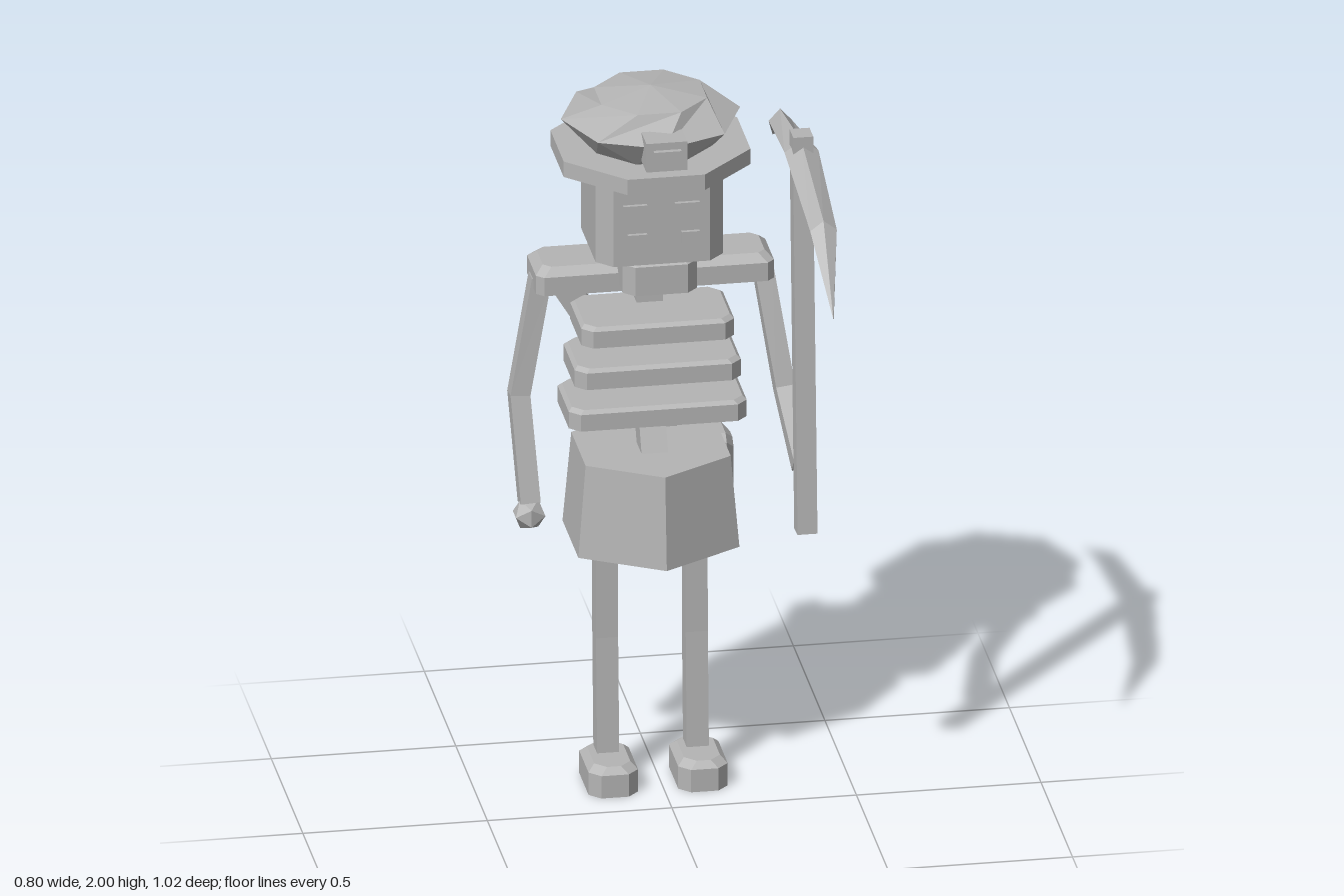
import * as THREE from 'three';

const stone = new THREE.MeshStandardMaterial({ color: 0xb4b4b4 });
stone.name = 'plain grey';

// Centre line of the body
const CX = -0.014;
const CZ = -0.258;

const V = (x, y, z) => new THREE.Vector3(x, y, z);

// Faceted solid through a list of equal-sized rings, capped at both ends
function loft(rings) {
  const out = [];
  const tri = (a, b, c) => [a, b, c].forEach((p) => out.push(p.x, p.y, p.z));
  const n = rings[0].length;
  for (let r = 0; r < rings.length - 1; r++) {
    const a = rings[r], b = rings[r + 1];
    for (let i = 0; i < n; i++) {
      const j = (i + 1) % n;
      tri(a[i], a[j], b[j]);
      tri(a[i], b[j], b[i]);
    }
  }
  const first = rings[0], last = rings[rings.length - 1];
  for (let i = 1; i < n - 1; i++) {
    tri(first[0], first[i + 1], first[i]);
    tri(last[0], last[i], last[i + 1]);
  }
  const geo = new THREE.BufferGeometry();
  geo.setAttribute('position', new THREE.Float32BufferAttribute(out, 3));
  geo.computeVertexNormals();
  return geo;
}

// Box given by its limits, with cut upright corners and bevelled top / bottom
function cutBox([x0, x1], [y0, y1], [z0, z1], cut, top = 0, bottom = 0) {
  const cx = (x0 + x1) / 2, cz = (z0 + z1) / 2;
  const ring = (y, inset) => {
    const w = (x1 - x0) / 2 - inset, d = (z1 - z0) / 2 - inset, c = cut;
    return [[w, d - c], [w, c - d], [w - c, -d], [c - w, -d], [-w, c - d], [-w, d - c], [c - w, d], [w - c, d]]
      .map(([x, z]) => V(cx + x, y, cz + z));
  };
  const rings = [];
  if (bottom) rings.push(ring(y0, bottom));
  rings.push(ring(y0 + bottom, 0), ring(y1 - top, 0));
  if (top) rings.push(ring(y1, top));
  return loft(rings);
}

function box([x0, x1], [y0, y1], [z0, z1]) {
  return new THREE.BoxGeometry(x1 - x0, y1 - y0, z1 - z0)
    .translate((x0 + x1) / 2, (y0 + y1) / 2, (z0 + z1) / 2);
}

// Square bar along a bent path; half widths across x and across the other way
function bar(points, hx, hv = hx) {
  const p = points.map((q) => V(...q));
  return loft(p.map((q, i) => {
    const d = p[Math.min(i + 1, p.length - 1)].clone().sub(p[Math.max(i - 1, 0)]).normalize();
    const u = V(1, 0, 0).addScaledVector(d, -d.x).normalize();
    const v = d.clone().cross(u);
    return [[1, 1], [-1, 1], [-1, -1], [1, -1]]
      .map(([a, b]) => q.clone().addScaledVector(u, a * hx).addScaledVector(v, b * hv));
  }));
}

function faceted(geo) {
  const g = geo.toNonIndexed();
  g.computeVertexNormals();
  return g;
}

export function createModel() {
  const model = new THREE.Group();
  model.name = 'skeletonMiner';
  const add = (name, geo) => {
    const mesh = new THREE.Mesh(geo, stone);
    mesh.name = name;
    model.add(mesh);
    return mesh;
  };

  // Helmet: eight-sided dome with staggered rings, and a flat brim
  const domeRing = (r, y, turn) => Array.from({ length: 8 }, (_, i) => {
    const a = (i + turn) * Math.PI / 4;
    return V(CX + r * Math.cos(a), y, CZ + r * -Math.sin(a));
  });
  add('helmetDome', loft([
    domeRing(0.17, 1.84, 0.5), domeRing(0.243, 1.918, 0),
    domeRing(0.155, 1.978, 0.5), domeRing(0.001, 2, 0.5),
  ]));
  const brim = new THREE.CylinderGeometry(0.274, 0.274, 0.045, 8).rotateY(Math.PI / 8);
  add('helmetBrim', faceted(brim.translate(CX, 1.818, CZ)));
  add('lampHousing', box([-0.069, 0.042], [1.86, 1.943], [-0.08, 0]));
  add('lampLens', box([-0.05, 0.024], [1.878, 1.922], [-0.01, 0.014]));

  // Head with face plates
  add('head', cutBox([-0.187, 0.158], [1.557, 1.8], [-0.388, -0.075], 0.042));
  const plates = [
    ['rightEye', -0.12, -0.055, 1.667, 1.735], ['leftEye', 0.02, 0.087, 1.667, 1.735],
    ['rightCheek', -0.108, -0.055, 1.615, 1.65], ['leftCheek', 0.038, 0.087, 1.615, 1.65],
  ];
  for (const [name, x0, x1, y0, y1] of plates) {
    add(name, box([x0, x1], [y0, y1], [-0.08, -0.064]));
  }
  add('jaw', cutBox([-0.115, 0.087], [1.465, 1.56], [-0.297, -0.08], 0.03, 0.012));

  // Shoulders, ribs and spine
  add('shoulderBar', cutBox([-0.335, 0.31], [1.44, 1.515], [-0.355, -0.177], 0.02, 0.022));
  [[1.305, 0.207], [1.185, 0.225], [1.065, 0.241]].forEach(([y, w], i) => {
    add(`rib${i + 1}`, cutBox([CX - w, CX + w], [y, y + 0.058], [-0.348, -0.115], 0.028, 0.01));
  });
  add('spine', bar([[CX, 0.88, -0.19], [CX, 1.09, -0.295], [CX, 1.46, -0.305]], 0.036));

  // Pelvis block, back strap and hip pouch
  const pelvis = new THREE.CylinderGeometry(0.227, 0.252, 0.262, 6);
  add('pelvis', faceted(pelvis.translate(CX, 0.824, -0.25)));
  add('backStrap', bar([[0.08, 0.88, -0.378], [-0.275, 1.46, -0.378]], 0.035, 0.022));
  const pouch = cutBox([0.73, 0.925], [0.1, 0.228], [-0.455, -0.335], 0.02, 0.022);
  // Tip the block on its side so the bevelled face points outwards
  pouch.applyMatrix4(new THREE.Matrix4().set(0, 1, 0, 0, -1, 0, 0, 1.655, 0, 0, 1, 0, 0, 0, 0, 1));
  add('hipPouch', pouch);

  // Legs and feet
  for (const [side, x] of [['right', -0.138], ['left', 0.105]]) {
    add(`${side}Leg`, bar([[x, 0.06, -0.232], [x, 0.41, -0.25], [x, 0.72, -0.254]], 0.03));
    add(`${side}Foot`, cutBox([x - 0.067, x + 0.067], [0, 0.083], [-0.3, -0.092], 0.03, 0.018));
  }

  // Arms: the right one hangs, the left one grips the pick
  add('rightArm', bar([[-0.355, 0.84, -0.185], [-0.372, 1.13, -0.25], [-0.312, 1.46, -0.265]], 0.027));
  const hand = new THREE.IcosahedronGeometry(0.047, 0);
  add('rightHand', hand.translate(-0.357, 0.81, -0.175));
  add('leftArm', bar([[0.35, 0.985, 0.02], [0.335, 1.125, -0.18], [0.288, 1.46, -0.262]], 0.026));

  // Pickaxe: leaning handle, diamond-section blade and collar
  const px = 0.351;
  add('pickHandle', bar([[px, 0.813, 0.07], [px, 1.9, -0.003]], 0.027));
  const blade = [
    [-0.455, 1.746, 1.742, 0.001], [-0.34, 1.868, 1.8, 0.031], [0, 1.922, 1.86, 0.046],
    [0.35, 1.84, 1.785, 0.036], [0.508, 1.627, 1.621, 0.001],
  ];
  add('pickBlade', loft(blade.map(([z, top, bottom, w]) => {
    const mid = (top + bottom) / 2;
    return [V(px + w, mid, z), V(px, top, z), V(px - w, mid, z), V(px, bottom, z)];
  })));
  add('pickCollar', box([px - 0.027, px + 0.027], [1.88, 1.945], [-0.03, 0.03]));

  return model;
}
